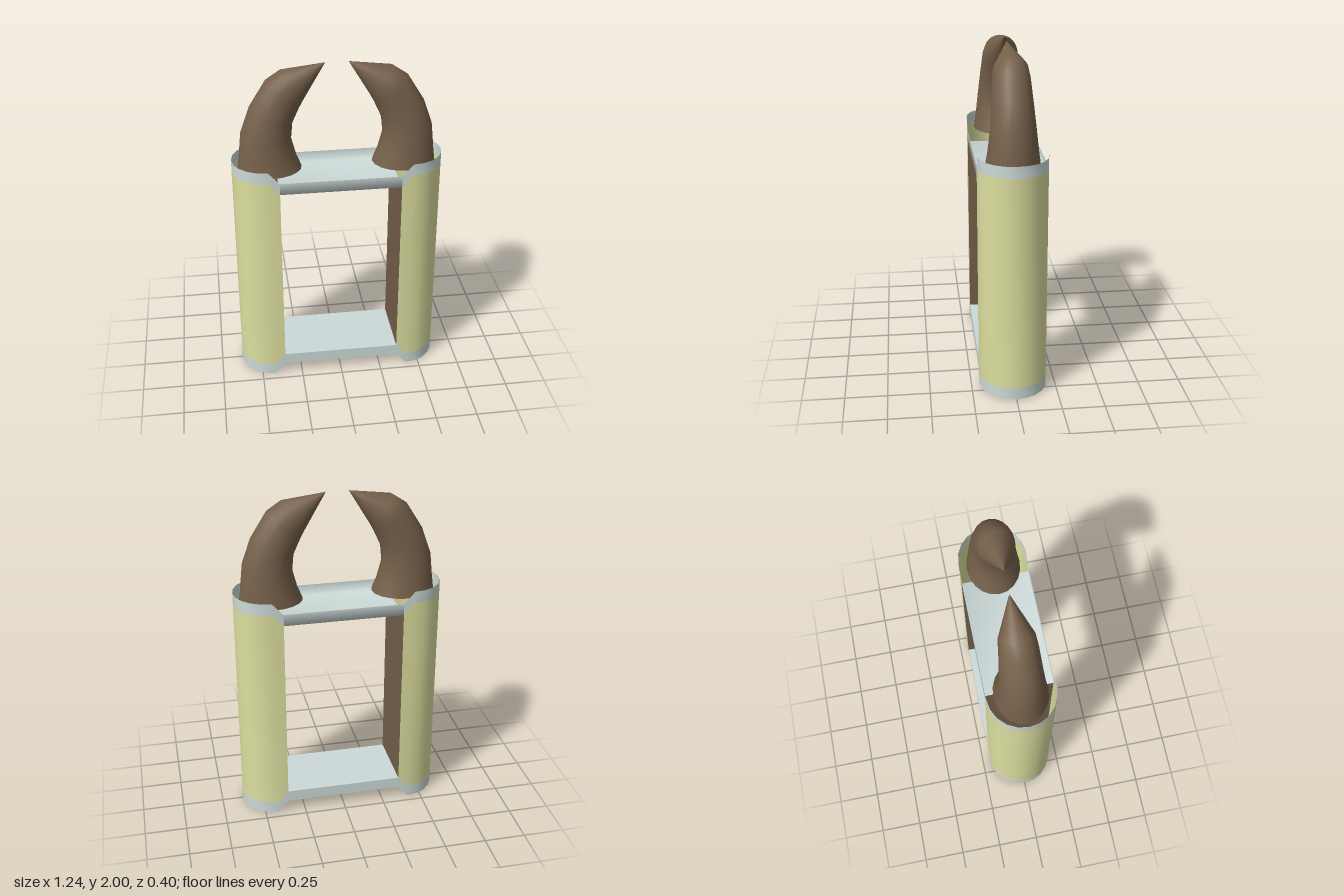
import * as THREE from 'three';

const material = (name, color) => {
  const m = new THREE.MeshStandardMaterial({ color, side: THREE.DoubleSide });
  m.name = name;
  return m;
};

// Skin a surface over rows of [x, y, z] points; closed joins each row into a ring.
function loft(rows, closed = false) {
  const n = rows[0].length, index = [];
  for (let r = 0; r < rows.length - 1; r++) {
    for (let i = 0; i < (closed ? n : n - 1); i++) {
      const a = r * n + i, b = r * n + (i + 1) % n;
      index.push(a, b, a + n, b, b + n, a + n);
    }
  }
  const g = new THREE.BufferGeometry();
  g.setAttribute('position', new THREE.Float32BufferAttribute(rows.flat(2), 3));
  g.setIndex(index);
  g.computeVertexNormals();
  return g;
}

export function createModel() {
  const model = new THREE.Group();
  const cream = material('cream', 0xdcdf9f);
  const grey = material('pale grey', 0xccdad8);
  const brown = material('brown', 0x75604a);

  const add = (parent, name, geometry, mat) => {
    const mesh = new THREE.Mesh(geometry, mat);
    mesh.name = name;
    parent.add(mesh);
    return mesh;
  };

  const IN = 0.355, C = 0.42, R = 0.2, H = 1.43, BAND = 0.07, STEP = 0.073;

  // Column outline: flat inner ends and a half round; d is the step at the ends.
  const outline = [{ x: IN, z: R, d: STEP }];
  for (let i = 0; i <= 10; i++) {
    const a = Math.PI * (0.5 - i / 10);
    outline.push({ x: C + R * Math.cos(a), z: R * Math.sin(a), d: 0 });
  }
  outline.push({ x: IN, z: -R, d: STEP });

  // Horn rings: inner edge x, y, outer edge x, y, half depth
  const hornRings = [
    [0.21, 1.37, 0.585, 1.37, 0.157],
    [0.24, 1.445, 0.574, 1.45, 0.145],
    [0.267, 1.55, 0.558, 1.6, 0.13],
    [0.257, 1.655, 0.506, 1.746, 0.118],
    [0.214, 1.75, 0.407, 1.905, 0.108],
    [0.19, 1.795, 0.32, 1.963, 0.1],
    [0.066, 2, 0.066, 2, 0],
  ];

  for (const s of [1, -1]) {
    const side = new THREE.Group();
    side.name = s > 0 ? 'leftSide' : 'rightSide';
    model.add(side);

    // Open shell with stepped grey bands at both ends
    const row = (y, dir) => outline.map(p => [s * p.x, y + dir * p.d, p.z]);
    add(side, 'columnShell', loft([row(BAND, 1), row(H - BAND, -1)]), cream);
    add(side, 'lowerBand', loft([row(0, 1), row(BAND, 1)]), grey);
    add(side, 'upperBand', loft([row(H - BAND, -1), row(H, -1)]), grey);

    // Wall closing the column towards the opening
    const y0 = BAND + STEP, y1 = H - y0;
    const wall = add(side, 'innerWall', new THREE.PlaneGeometry(2 * R, y1 - y0), brown);
    wall.rotation.y = -s * Math.PI / 2;
    wall.position.set(s * IN, (y0 + y1) / 2, 0);

    // Curved horn
    const rings = hornRings.map(([xi, yi, xo, yo, depth]) =>
      Array.from({ length: 20 }, (_, i) => {
        const a = i / 20 * Math.PI * 2, t = (1 + Math.cos(a)) / 2;
        return [s * (xi + (xo - xi) * t), yi + (yo - yi) * t, depth * Math.sin(a)];
      }));
    add(side, 'horn', loft(rings, true), brown);
    const base = add(side, 'hornBase', new THREE.CircleGeometry(1, 20), brown);
    base.scale.set(0.187, 0.157, 1);
    base.rotation.x = Math.PI / 2;
    base.position.set(s * 0.3975, 1.37, 0);
  }

  // Channel bars: a plate with a rim along the front and back edges
  const bar = (plate, rim) => loft(
    [[rim, R], [plate, R], [plate, -R], [rim, -R]].map(([y, z]) => [[-IN, y, z], [IN, y, z]]));
  add(model, 'topBar', bar(H - BAND - STEP, H - STEP), grey);
  add(model, 'bottomBar', bar(BAND + STEP, STEP).toNonIndexed(), grey)
    .geometry.computeVertexNormals();

  return model;
}
